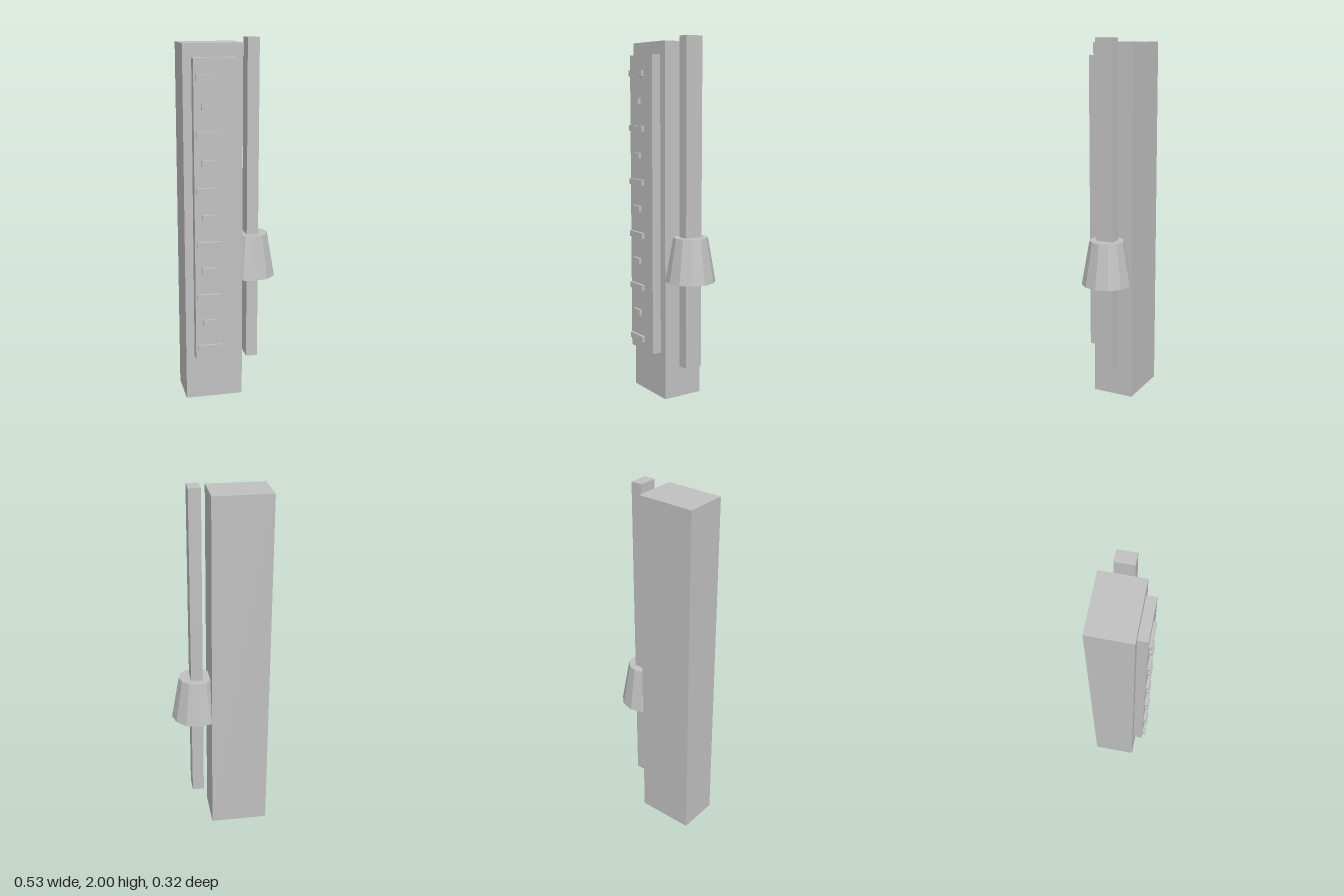
import * as THREE from 'three';

export function createModel() {
  const model = new THREE.Group();
  const grey = new THREE.MeshStandardMaterial({ color: 0xc0c0c0, flatShading: true });
  grey.name = 'light grey';

  // Box given by its minimum and maximum on each axis
  function addBox(name, [x0, x1], [y0, y1], [z0, z1], parent = model) {
    const mesh = new THREE.Mesh(new THREE.BoxGeometry(x1 - x0, y1 - y0, z1 - z0), grey);
    mesh.position.set((x0 + x1) / 2, (y0 + y1) / 2, (z0 + z1) / 2);
    mesh.name = name;
    parent.add(mesh);
  }

  // Tall post with a raised scale plate on its front
  addBox('post', [-0.267, 0.053], [0, 1.975], [-0.141, 0.092]);
  addBox('scalePlate', [-0.22, 0.006], [0.26, 1.905], [0.09, 0.144]);

  // Alternating long and short scale marks
  const marks = new THREE.Group();
  marks.name = 'scaleMarks';
  model.add(marks);
  for (let i = 0; i < 11; i++) {
    const y = 0.325 + i * 0.1482;
    const long = i % 2 === 0;
    addBox(long ? 'longMark' : 'shortMark', long ? [-0.209, -0.079] : [-0.18, -0.11],
      [y - 0.016, y + 0.016], [0.142, 0.16], marks);
  }

  // Guide rod beside the post
  addBox('rod', [0.094, 0.159], [0.195, 2], [-0.075, 0.026]);

  // Twelve-sided tapered float around the rod
  const slider = new THREE.Mesh(new THREE.CylinderGeometry(0.095, 0.138, 0.245, 12), grey);
  slider.position.set(0.127, 0.803, -0.025);
  slider.name = 'taperedFloat';
  model.add(slider);

  return model;
}
